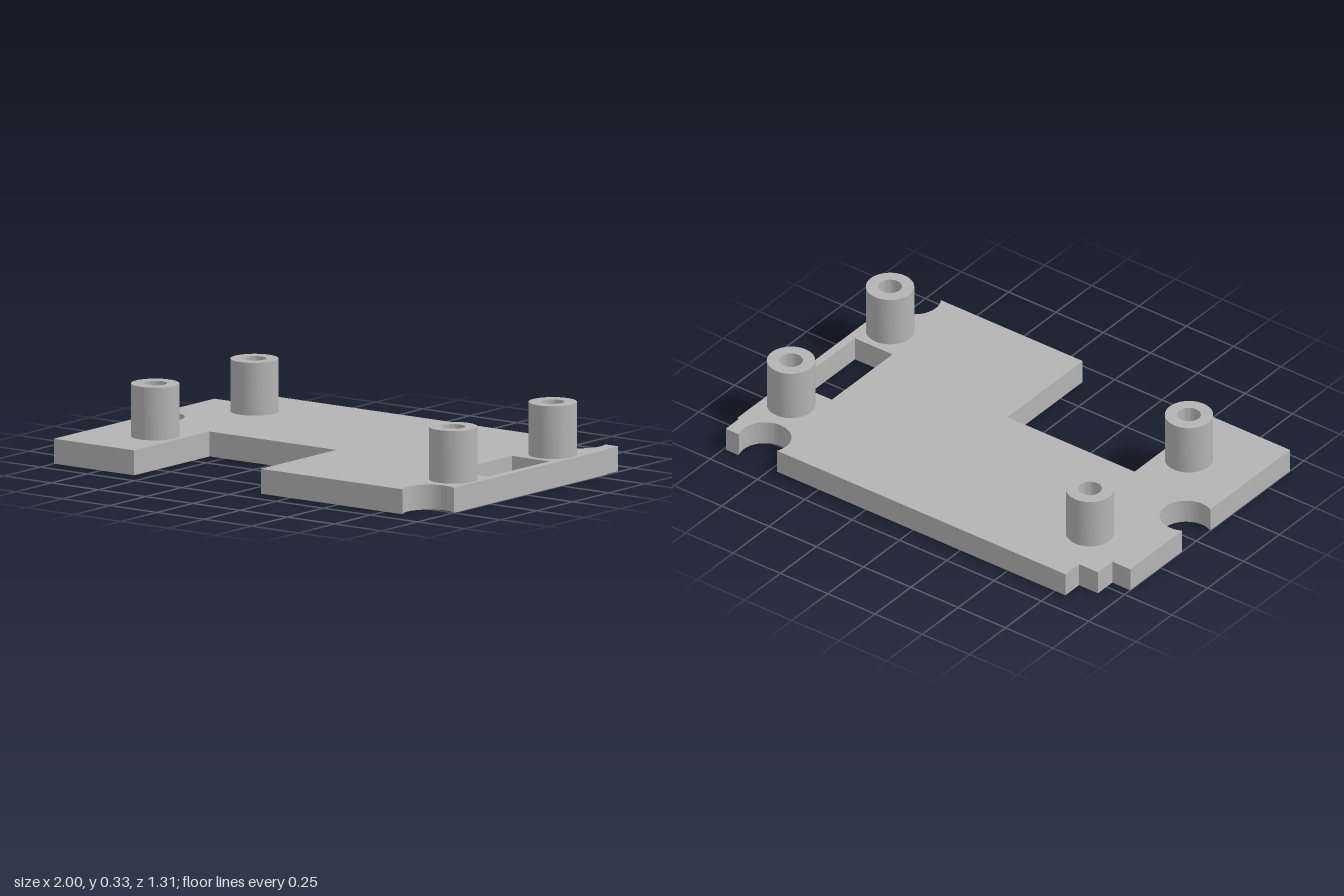
import * as THREE from 'three';
import { toCreasedNormals } from 'three/addons/utils/BufferGeometryUtils.js';

const PLATE_TOP = 0.107, POST_TOP = 0.333;
const RECESS_TOP = 0.06, RECESS_R = 0.083, BORE_R = 0.05, POST_R = 0.102;
const BITE_R = 0.112;
const HALF_Z = 0.655;
const POSTS = [[-0.7, -0.345], [-0.7, 0.345], [0.88, -0.345], [0.88, 0.345]];

export function createModel() {
  const group = new THREE.Group();
  const grey = new THREE.MeshStandardMaterial({ color: 0xb3b3b3 });
  grey.name = 'grey';

  // Outline drawn with shape y = -z
  const outline = new THREE.Shape();
  const lines = (...pts) => pts.forEach(([x, y]) => outline.lineTo(x, y));
  // Round cutout in the edge, between two points on its rim
  const bite = (cx, cy, x0, y0, x1, y1) => outline.absarc(
    cx, cy, BITE_R, Math.atan2(y0 - cy, x0 - cx), Math.atan2(y1 - cy, x1 - cx), true);

  outline.moveTo(-1, -HALF_Z);
  lines([-0.575, -HALF_Z], [-0.575, -0.13], [0.097, -0.13], [0.097, -HALF_Z]); // front notch
  bite(0.94, -0.593, 0.847, -HALF_Z, 1, -0.498); // front corner
  lines([1, 0.56], [0.99, 0.56], [0.99, HALF_Z]);
  bite(0.82, 0.607, 0.921, HALF_Z, 0.719, HALF_Z); // back edge
  lines([-0.805, HALF_Z], [-0.805, 0.56], [-0.905, 0.56], [-0.905, 0.46], [-1, 0.46]); // stepped corner
  bite(-0.947, 0, -1, 0.099, -1, -0.099); // side edge
  outline.closePath();

  // Rectangular slot
  outline.holes.push(new THREE.Path([[0.765, -0.21], [0.765, 0.213], [0.963, 0.213], [0.963, -0.21]]
    .map(([x, y]) => new THREE.Vector2(x, y))));
  // Screw-head recesses
  for (const [x, z] of POSTS) {
    outline.holes.push(new THREE.Path().absarc(x, -z, RECESS_R, 0, Math.PI * 2, true));
  }

  const plateGeo = new THREE.ExtrudeGeometry(outline, { depth: PLATE_TOP, bevelEnabled: false, curveSegments: 48 });
  plateGeo.rotateX(-Math.PI / 2);
  const plate = new THREE.Mesh(toCreasedNormals(plateGeo, 0.5), grey);
  plate.name = 'basePlate';
  group.add(plate);

  // Hollow standoff, plugging the top of its recess
  const profile = [
    [BORE_R, RECESS_TOP], [RECESS_R, RECESS_TOP], [RECESS_R, PLATE_TOP], [POST_R, PLATE_TOP],
    [POST_R, POST_TOP], [BORE_R, POST_TOP], [BORE_R, RECESS_TOP],
  ].map(([r, y]) => new THREE.Vector2(r, y));
  const postGeo = toCreasedNormals(new THREE.LatheGeometry(profile, 48), 0.5);
  for (const [x, z] of POSTS) {
    const post = new THREE.Mesh(postGeo, grey);
    post.name = 'standoff';
    post.position.set(x, 0, z);
    group.add(post);
  }
  return group;
}
